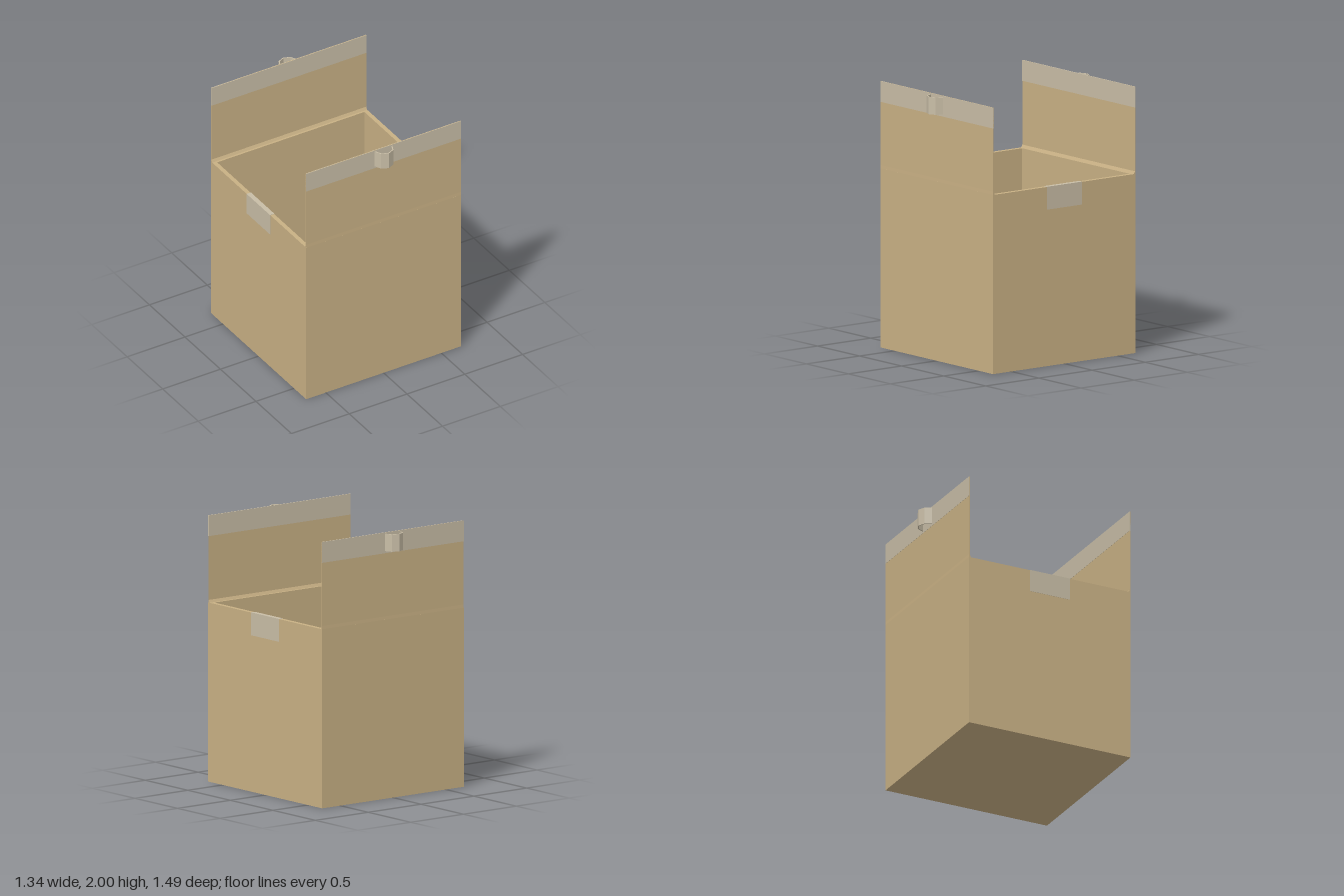
import * as THREE from 'three';

const material = color => new THREE.MeshStandardMaterial({ color });

export function createModel() {
  const model = new THREE.Group();
  const card = material(0xc8b084);
  const tape = material(0xc8bda6);
  const grey = material(0xcccccc);
  const HALF = 0.67, INNER = 0.637, TOP = 1.345;

  const add = (name, geometry, mat, parent = model) => {
    const mesh = new THREE.Mesh(geometry, mat);
    mesh.name = name;
    parent.add(mesh);
    return mesh;
  };
  const block = (name, size, pos, mat, parent) => {
    const mesh = add(name, new THREE.BoxGeometry(...size), mat, parent);
    mesh.position.set(...pos);
  };
  const points = list => list.map(([x, y]) => new THREE.Vector2(x, y));
  const square = s => points([[-s, -s], [s, -s], [s, s], [-s, s]]);

  // Hollow carton: four walls in one ring, plus the floor
  const ring = new THREE.Shape(square(HALF));
  ring.holes.push(new THREE.Path(square(INNER)));
  const walls = new THREE.ExtrudeGeometry(ring, { depth: TOP, bevelEnabled: false });
  walls.rotateX(-Math.PI / 2);
  add('cartonWalls', walls, card);
  block('cartonFloor', [INNER * 2, 0.03, INNER * 2], [0, 0.015, 0], card);

  // Upright flap with its taped edge and pull loop, made for the front and turned for the back
  for (const [label, turn] of [['front', 0], ['back', Math.PI]]) {
    const side = new THREE.Group();
    side.name = label + 'FlapAssembly';
    side.rotation.y = turn;
    model.add(side);

    // Flap section in (z, y), widening at the fold
    const section = new THREE.Shape(points(
      [[0.67, 1.34], [0.669, 1.37], [0.669, 2], [0.664, 2], [0.664, 1.365], [0.65, 1.34]]));
    const flap = new THREE.ExtrudeGeometry(section, { depth: HALF * 2, bevelEnabled: false });
    flap.rotateY(-Math.PI / 2);
    flap.translate(HALF, 0, 0);
    add(label + 'Flap', flap, card, side);
    block(label + 'FlapTape', [HALF * 2, 0.156, 0.008], [0, 1.922, 0.6665], tape, side);

    // Faceted pull loop: outer outline out, inner outline back
    const outer = [[-0.078, 0.668], [-0.053, 0.722], [0, 0.745], [0.053, 0.722], [0.078, 0.668]];
    const inner = [[0.069, 0.668], [0.047, 0.716], [0, 0.737], [-0.047, 0.716], [-0.069, 0.668]];
    const outline = new THREE.Shape(points([...outer, ...inner].map(([x, z]) => [x, -z])));
    const loop = new THREE.ExtrudeGeometry(outline, { depth: 0.13, bevelEnabled: false });
    loop.rotateX(-Math.PI / 2);
    loop.translate(0, 1.86, 0);
    add(label + 'PullLoop', loop, tape, side);
  }

  // Tape patches folded over the two side rims
  for (const [label, s] of [['left', 1], ['right', -1]]) {
    block(label + 'TapeOutside', [0.002, 0.172, 0.33], [s * 0.671, 1.261, 0], tape);
    block(label + 'TapeRim', [0.035, 0.002, 0.33], [s * 0.654, 1.346, 0], tape);
    block(label + 'TapeInside', [0.002, 0.172, 0.33], [s * 0.636, 1.261, 0], tape);
  }

  // Packed goods: boxes whose top rounds down softly towards square corners
  const packed = (name, w, h, d, x, z, turn, r) => {
    const geometry = new THREE.BoxGeometry(w, h, d, 24, 1, 24);
    const p = geometry.attributes.position;
    const drop = gap => {
      const t = THREE.MathUtils.clamp(1 - gap / r, 0, 1);
      return r * (1 - Math.sqrt(1 - t * t));
    };
    for (let i = 0; i < p.count; i++) {
      if (p.getY(i) <= 0) continue;
      const fall = Math.max(drop(w / 2 - Math.abs(p.getX(i))), drop(d / 2 - Math.abs(p.getZ(i))));
      p.setY(i, h / 2 - fall * 0.5);
    }
    geometry.computeVertexNormals();
    const mesh = add(name, geometry, grey);
    mesh.position.set(x, 0.03 + h / 2, z);
    mesh.rotation.y = turn;
  };
  packed('largePackage', 0.8, 0.42, 1.07, 0.22, -0.005, 0, 0.06);
  packed('smallPackage', 0.365, 0.36, 0.733, -0.407, -0.003, 0.085, 0.07);

  return model;
}
